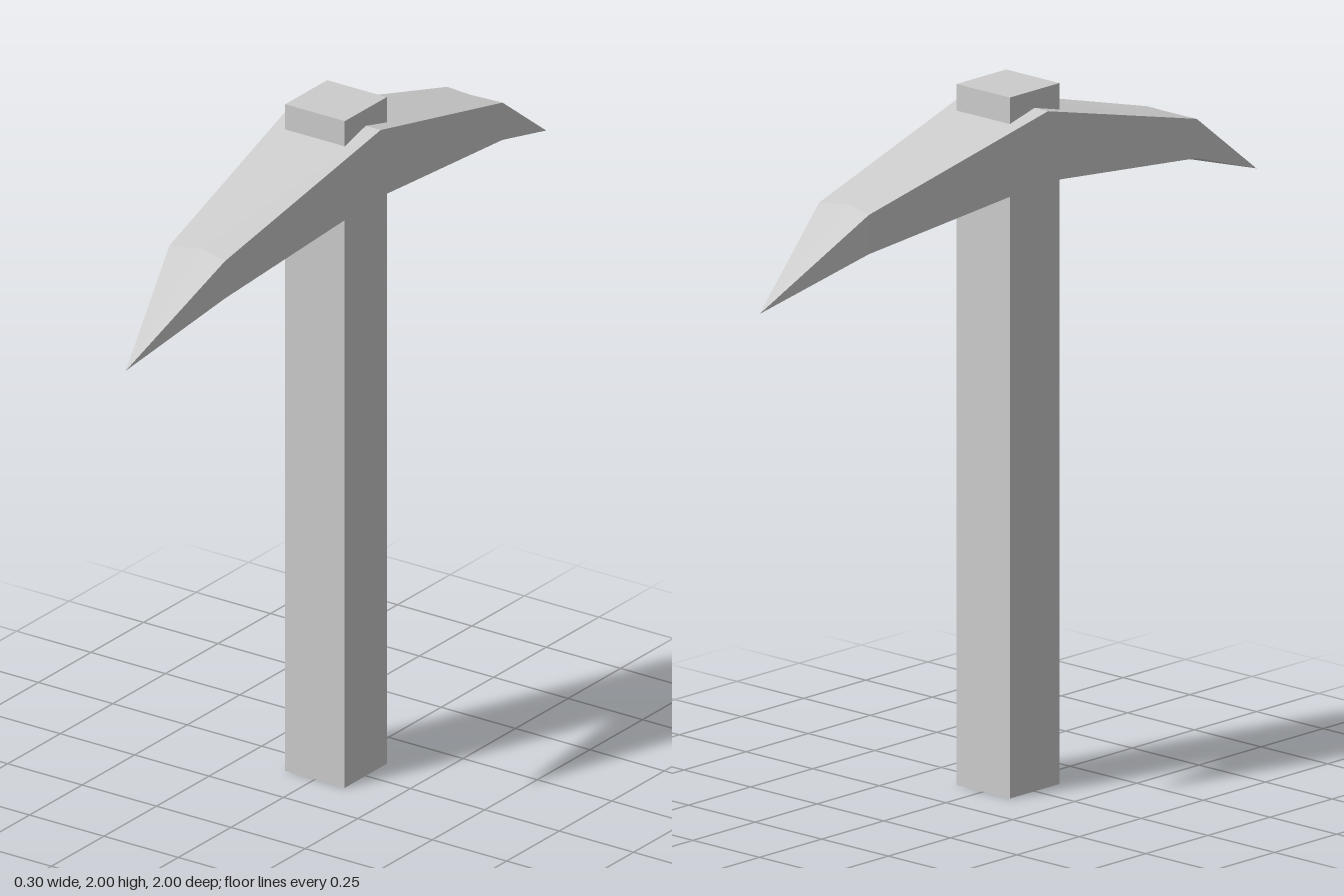
import * as THREE from 'three';

const material = new THREE.MeshStandardMaterial({ color: 0xcccccc, flatShading: true });

// Six-point section, counter-clockwise seen from +z: top edge, side, bottom edge, side.
function section(side, { z, zMid, half, top, topMid, bottom, bottomMid }) {
  return [
    [half, top, z * side], [0, topMid, zMid * side], [-half, top, z * side],
    [-half, bottom, z * side], [0, bottomMid, zMid * side], [half, bottom, z * side],
  ];
}

// Double-pointed head, lofted from tip to tip
function headGeometry() {
  const middle = { z: 0, zMid: 0, half: 0.15, top: 1.95, topMid: 1.95, bottom: 1.75, bottomMid: 1.75 };
  const bend = { z: 0.66, zMid: 0.64, half: 0.093, top: 1.78, topMid: 1.787, bottom: 1.668, bottomMid: 1.66 };
  const tip = { z: 1, zMid: 1, half: 0, top: 1.55, topMid: 1.55, bottom: 1.55, bottomMid: 1.55 };
  const rings = [
    section(-1, tip), section(-1, bend), section(1, middle), section(1, bend), section(1, tip),
  ];
  const positions = [];
  for (let i = 0; i < rings.length - 1; i++) {
    for (let j = 0; j < 6; j++) {
      const k = (j + 1) % 6;
      const a = rings[i][j], b = rings[i][k], c = rings[i + 1][k], d = rings[i + 1][j];
      // Only one triangle per side is needed where a ring closes to a point
      if (i > 0) positions.push(...a, ...b, ...c);
      if (i < rings.length - 2) positions.push(...a, ...c, ...d);
    }
  }
  const geometry = new THREE.BufferGeometry();
  geometry.setAttribute('position', new THREE.Float32BufferAttribute(positions, 3));
  geometry.computeVertexNormals();
  return geometry;
}

export function createModel() {
  const group = new THREE.Group();
  group.name = 'pickaxe';

  // Square handle, passing through the head
  const handle = new THREE.Mesh(new THREE.BoxGeometry(0.2, 2, 0.2), material);
  handle.name = 'handle';
  handle.position.y = 1;

  const head = new THREE.Mesh(headGeometry(), material);
  head.name = 'head';

  group.add(handle, head);
  return group;
}
